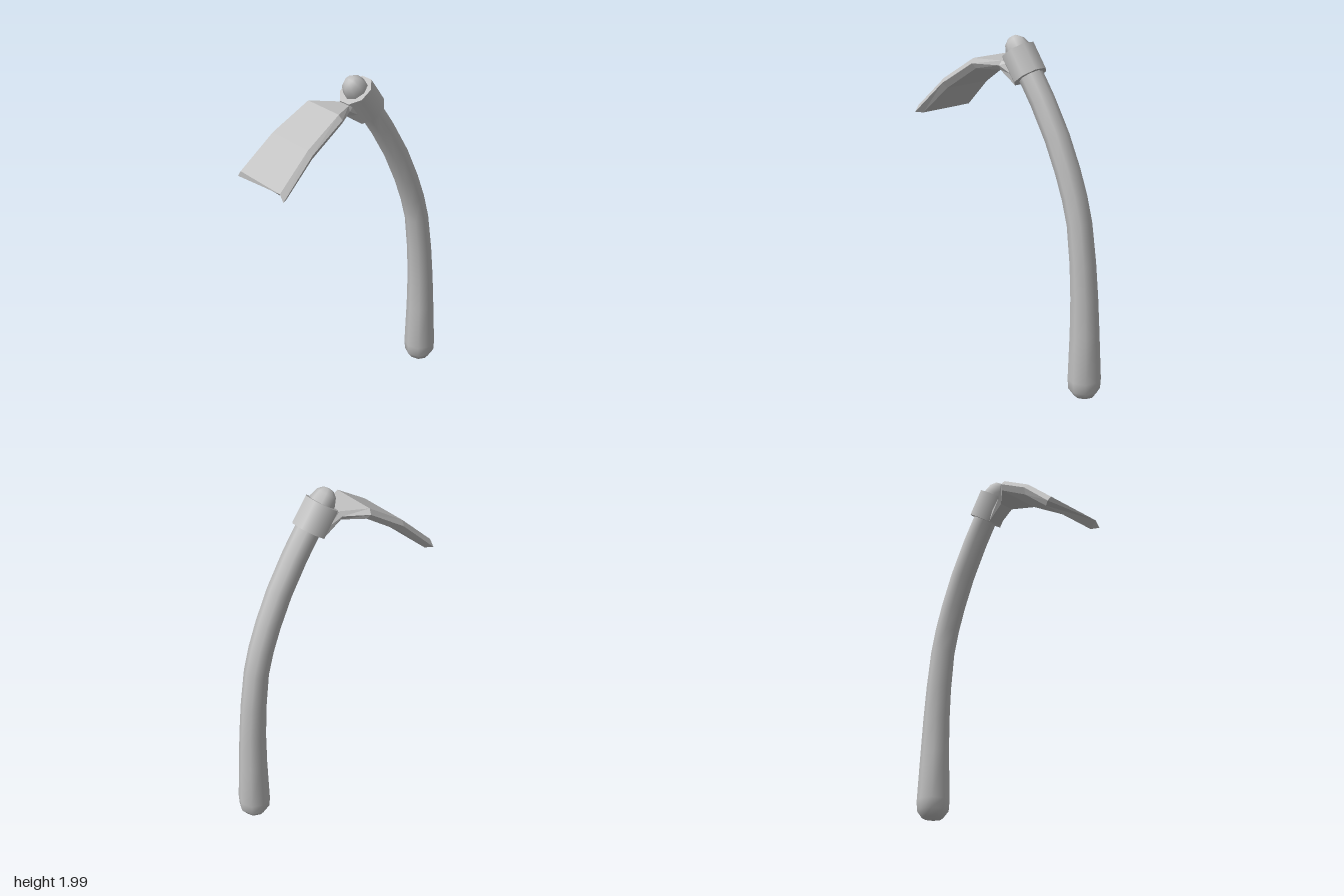
import * as THREE from 'three';

const metal = new THREE.MeshStandardMaterial({ color: 0xc0c0c0 });
metal.name = 'plain grey';

// Smooth eight-sided tube through [x, y, radius] stations
function handleGeometry(stations, sides = 8) {
  const pos = [], index = [];
  stations.forEach(([x, y, r], i) => {
    const p = stations[Math.max(i - 1, 0)], q = stations[Math.min(i + 1, stations.length - 1)];
    const t = new THREE.Vector2(q[0] - p[0], q[1] - p[1]).normalize();
    for (let k = 0; k < sides; k++) {
      const a = (k / sides) * Math.PI * 2, c = r * Math.cos(a);
      pos.push(x + c * t.y, y - c * t.x, r * Math.sin(a));
      if (i === stations.length - 1) continue;
      const n = (k + 1) % sides, lo = i * sides, hi = lo + sides;
      index.push(lo + k, hi + k, lo + n, lo + n, hi + k, hi + n);
    }
  });
  const g = new THREE.BufferGeometry();
  g.setAttribute('position', new THREE.Float32BufferAttribute(pos, 3));
  g.setIndex(index);
  g.computeVertexNormals();
  return g;
}

// Flat-faced blade with six-sided sections: top, wider middle edge, bottom
function bladeGeometry(sections) {
  const rings = sections.map(({ top, mid, bot, inner, outer }) => [
    [...top, inner], [...mid, outer], [...bot, inner],
    [...bot, -inner], [...mid, -outer], [...top, -inner],
  ]);
  const pos = [];
  const tri = (a, b, c) => pos.push(...a, ...b, ...c);
  for (let i = 0; i < rings.length - 1; i++) {
    for (let k = 0; k < 6; k++) {
      const n = (k + 1) % 6, A = rings[i], B = rings[i + 1];
      tri(A[k], B[n], A[n]);
      tri(A[k], B[k], B[n]);
    }
  }
  const first = rings[0], last = rings[rings.length - 1];
  for (let k = 1; k < 5; k++) {
    tri(first[0], first[k], first[k + 1]);
    tri(last[0], last[k + 1], last[k]);
  }
  const g = new THREE.BufferGeometry();
  g.setAttribute('position', new THREE.Float32BufferAttribute(pos, 3));
  g.computeVertexNormals();
  return g;
}

export function createModel() {
  const group = new THREE.Group();
  group.name = 'hoe';
  const add = (name, geometry) => {
    const mesh = new THREE.Mesh(geometry, metal);
    mesh.name = name;
    group.add(mesh);
    return mesh;
  };

  // Curved handle with a rounded butt and a domed tip above the collar
  add('handle', handleGeometry([
    [0.525, 0.005, 0], [0.525, 0.02, 0.06], [0.524, 0.06, 0.09], [0.523, 0.12, 0.094],
    [0.519, 0.4, 0.083], [0.512, 0.6, 0.077], [0.497, 0.8, 0.073], [0.468, 1.02, 0.07],
    [0.43, 1.16, 0.07], [0.378, 1.3, 0.07], [0.298, 1.475, 0.07], [0.19, 1.66, 0.07],
    [0.115, 1.77, 0.07], [0.055, 1.85, 0.07], [0.003, 1.925, 0.071],
    [-0.022, 1.961, 0.056], [-0.036, 1.981, 0.03], [-0.039, 1.985, 0],
  ]));

  // Octagonal collar, tilted along the handle
  const collar = add('collar',
    new THREE.CylinderGeometry(0.101, 0.101, 0.16, 8, 1, false, Math.PI / 8));
  collar.position.set(0.0525, 1.8475, 0);
  collar.rotation.z = 0.608;

  // Neck flaring into the collar, then the bent bevelled blade
  add('blade', bladeGeometry([
    { top: [-0.04, 1.845], mid: [-0.01, 1.79], bot: [0.02, 1.73], inner: 0.04, outer: 0.046 },
    { top: [-0.075, 1.855], mid: [-0.08, 1.83], bot: [-0.085, 1.802], inner: 0.045, outer: 0.063 },
    { top: [-0.208, 1.865], mid: [-0.2, 1.838], bot: [-0.188, 1.81], inner: 0.134, outer: 0.155 },
    { top: [-0.425, 1.73], mid: [-0.415, 1.705], bot: [-0.4, 1.675], inner: 0.158, outer: 0.182 },
    { top: [-0.622, 1.55], mid: [-0.622, 1.513], bot: [-0.582, 1.51], inner: 0.182, outer: 0.211 },
  ]));

  return group;
}
